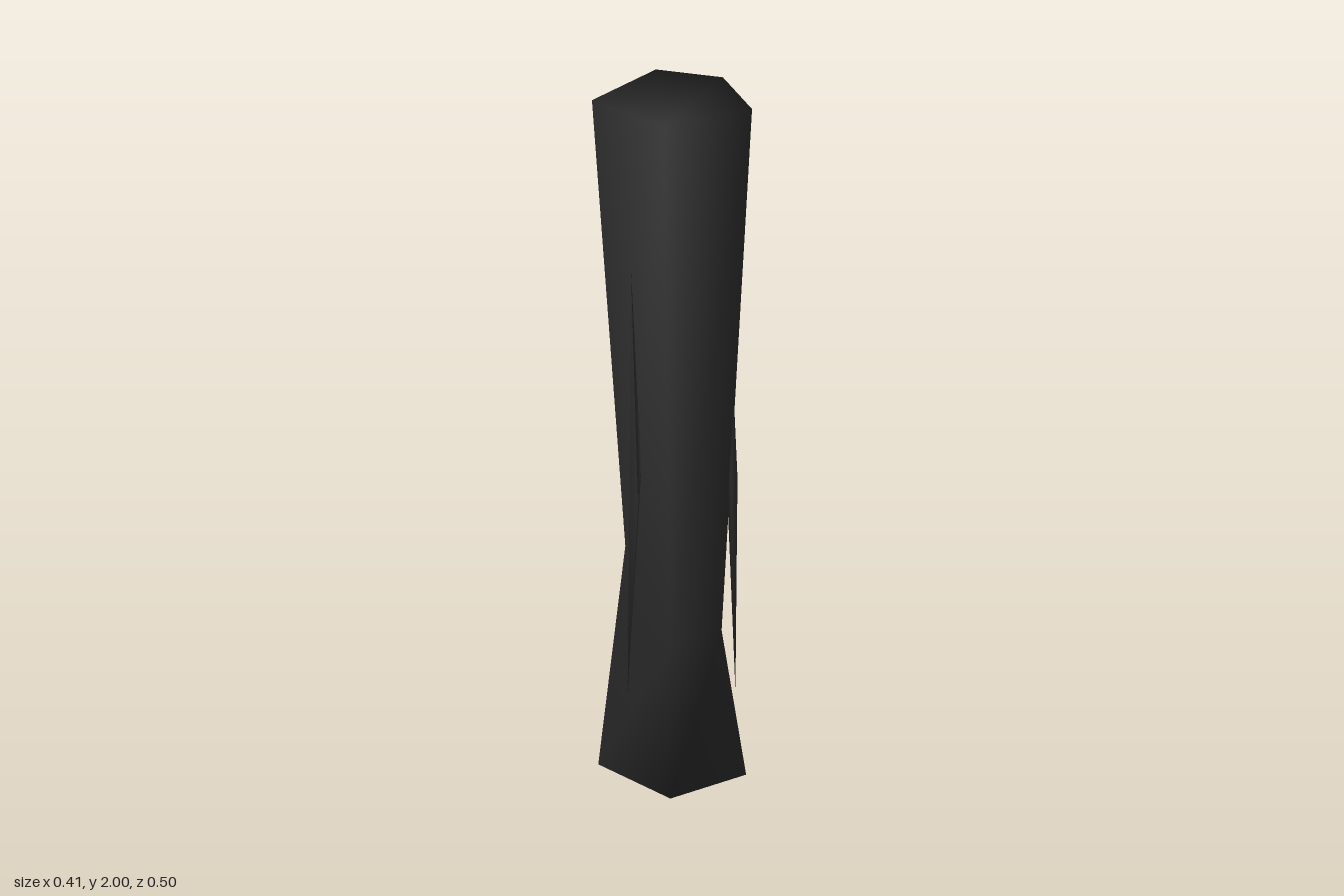
import * as THREE from 'three';

// Smooth closed solid from a few corner points and faces (tris or quads)
function solid(name, points, faces, material) {
  const index = [];
  for (const f of faces) {
    for (let i = 1; i < f.length - 1; i++) index.push(f[0], f[i], f[i + 1]);
  }
  const geo = new THREE.BufferGeometry();
  geo.setAttribute('position', new THREE.Float32BufferAttribute(points.flat(), 3));
  geo.setIndex(index);
  geo.computeVertexNormals();
  const mesh = new THREE.Mesh(geo, material);
  mesh.name = name;
  return mesh;
}

// Thin splinter: lower tip, three middle corners, upper tip
function splinter(name, tip, ring, top, material) {
  const faces = [];
  for (let i = 0; i < 3; i++) {
    const a = 1 + i, b = 1 + ((i + 1) % 3);
    faces.push([0, b, a], [a, b, 4]);
  }
  return solid(name, [tip, ...ring, top], faces, material);
}

export function createModel() {
  const group = new THREE.Group();
  group.name = 'trunk';
  const bark = new THREE.MeshStandardMaterial({ color: 0x2b2b2b });
  bark.name = 'charred bark';

  // Main stem: four-sided foot and waist, five-sided top, one knot at the back
  const points = [
    [-0.06, 0, 0.25], [0.205, 0, 0.105], [0.09, 0, -0.23], [-0.17, 0, -0.1], // foot 0-3
    [-0.035, 0.42, 0.17], [0.13, 0.44, 0.115], [0.1, 0.69, -0.107], [-0.105, 0.66, -0.05], // waist 4-7
    [-0.078, 2, 0.25], [0.205, 2, 0.165], [0.205, 2, -0.13], [0.043, 2, -0.25], [-0.207, 2, -0.037], // top 8-12
    [-0.132, 1.6, -0.167], // knot 13
  ];
  const faces = [[0, 3, 2], [0, 2, 1], [8, 9, 10], [8, 10, 11], [8, 11, 12]];
  for (let i = 0; i < 4; i++) {
    const j = (i + 1) % 4;
    faces.push([i, j, 4 + j, 4 + i]);
  }
  faces.push(
    [4, 5, 9, 8], [5, 6, 10, 9], [6, 11, 10], [6, 7, 13, 11],
    [7, 12, 13], [13, 12, 11], [7, 4, 8, 12],
  );
  group.add(solid('stem', points, faces, bark));

  // Peeling splinters on both sides of the front
  group.add(splinter('rightSplinter', [-0.142, 0.27, 0.1],
    [[-0.132, 0.87, 0.17], [-0.112, 0.95, 0.135], [-0.143, 0.8, 0.12]],
    [-0.125, 1.53, 0.075], bark));
  group.add(splinter('leftSplinter', [0.175, 0.25, 0.1],
    [[0.145, 0.93, 0.155], [0.168, 0.9, 0.145], [0.145, 0.85, 0.12]],
    [0.16, 1.14, 0.135], bark));
  return group;
}
